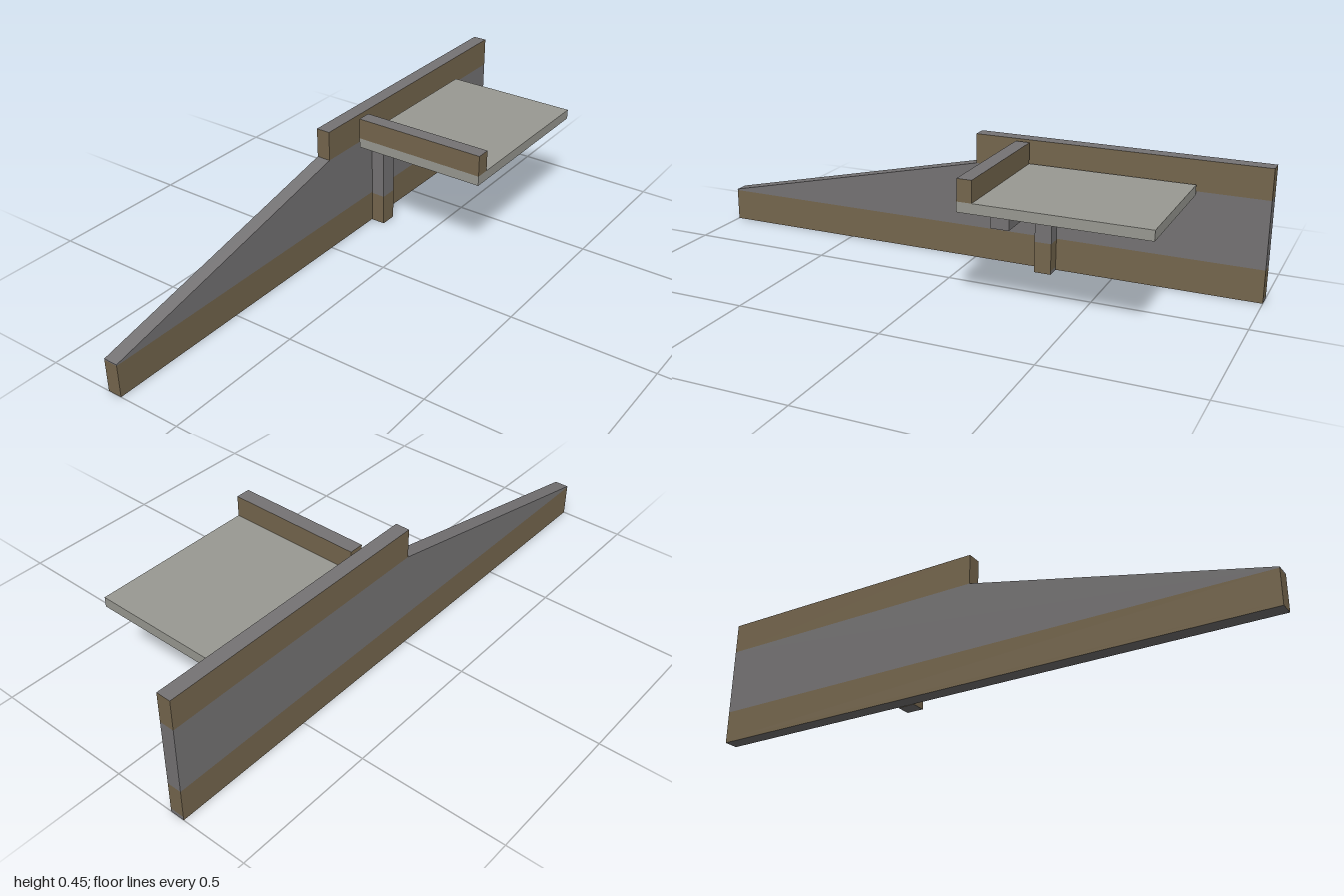
import * as THREE from 'three';

export function createModel() {
  const model = new THREE.Group();
  model.name = 'wallWithShelf';

  const mat = (name, color) => Object.assign(new THREE.MeshStandardMaterial({ color }), { name });
  const grey = mat('slate grey', 0x767475);
  const brown = mat('earth brown', 0x76674e);
  const pale = mat('pale stone', 0x9a9a93);

  // Face order: +x, -x, top, bottom, front, back
  const trimmed = [brown, brown, grey, grey, brown, brown];
  const footing = [grey, brown, grey, grey, brown, brown];

  // Box given by its limits on each axis
  function block(parent, name, [x0, x1], [y0, y1], [z0, z1], material) {
    const mesh = new THREE.Mesh(new THREE.BoxGeometry(x1 - x0, y1 - y0, z1 - z0), material);
    mesh.position.set((x0 + x1) / 2, (y0 + y1) / 2, (z0 + z1) / 2);
    mesh.name = name;
    parent.add(mesh);
  }

  function group(name) {
    const g = new THREE.Group();
    g.name = name;
    model.add(g);
    return g;
  }

  // Back wall: brown base and crown, grey middle with a long sloping shoulder
  const wall = group('wall');
  const wallZ = [-0.27, -0.22];
  block(wall, 'wallFooting', [-1, 1], [0, 0.012], wallZ, footing);
  block(wall, 'wallBase', [-1, 1], [0.012, 0.113], wallZ, trimmed);
  block(wall, 'wallCrown', [0, 1], [0.344, 0.448], wallZ, trimmed);

  const outline = new THREE.Shape([
    [-1, 0.113], [1, 0.113], [1, 0.344], [0, 0.344], [-1, 0.117],
  ].map(([x, y]) => new THREE.Vector2(x, y)));
  const middle = new THREE.Mesh(
    new THREE.ExtrudeGeometry(outline, { depth: wallZ[1] - wallZ[0], bevelEnabled: false }), grey);
  middle.position.z = wallZ[0];
  middle.name = 'wallMiddle';
  wall.add(middle);

  // Bracket: upright post with an arm reaching forward
  const bracket = group('bracket');
  const bracketX = [0.24, 0.30];
  const postZ = [-0.218, -0.168];
  block(bracket, 'postFooting', bracketX, [0, 0.012], postZ, footing);
  block(bracket, 'postBase', bracketX, [0.012, 0.11], postZ, trimmed);
  block(bracket, 'post', bracketX, [0.11, 0.341], postZ, grey);
  block(bracket, 'arm', bracketX, [0.28, 0.341], [-0.168, 0.215], grey);

  // Shelf plate with a raised lip along one edge
  const shelf = group('shelf');
  const shelfZ = [-0.205, 0.27];
  block(shelf, 'shelfPlate', [0.15, 0.765], [0.336, 0.37], shelfZ, pale);
  block(shelf, 'shelfLip', [0.15, 0.20], [0.37, 0.443], shelfZ, trimmed);

  return model;
}
